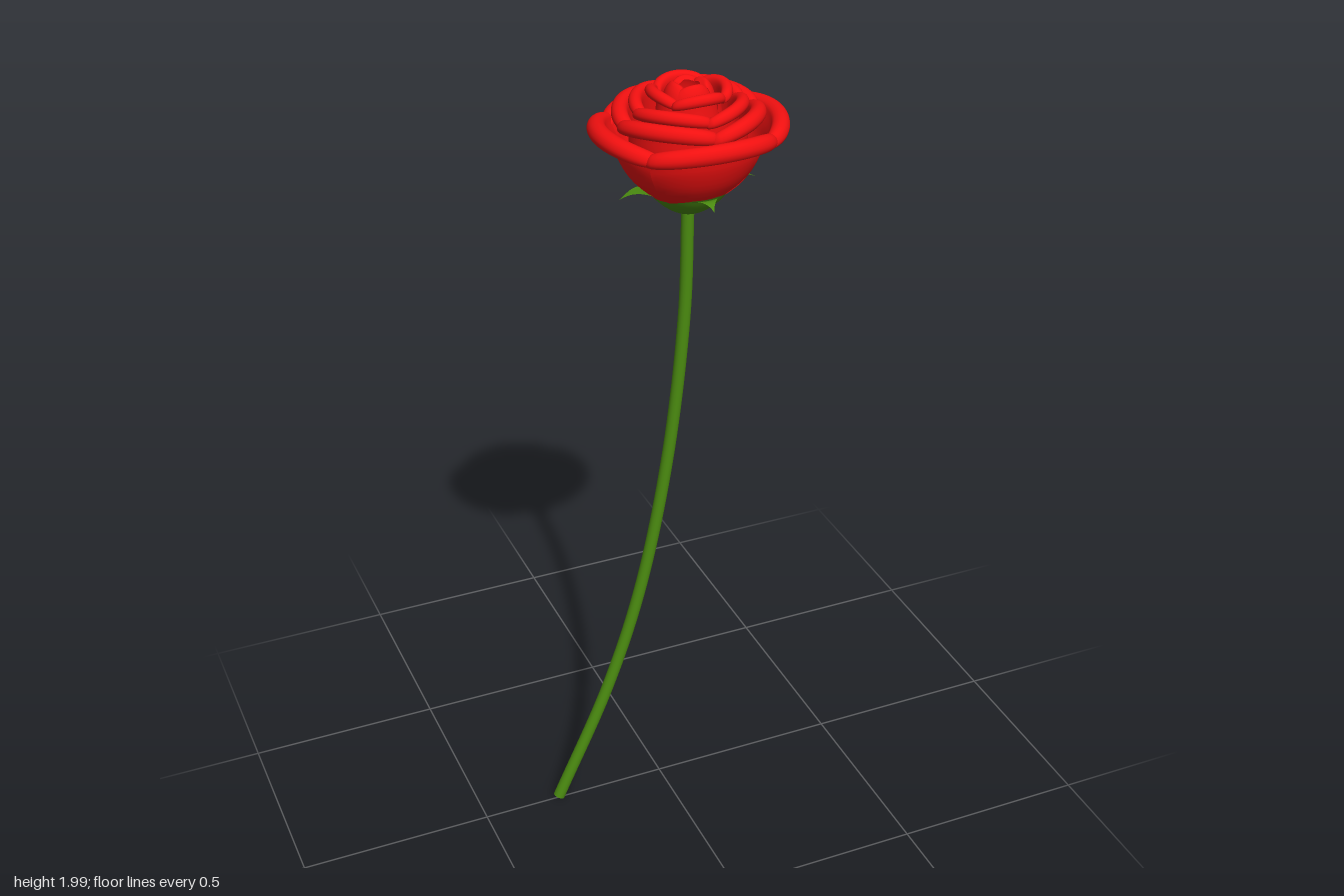
import * as THREE from 'three';

const red = new THREE.MeshStandardMaterial({ color: 0xf01010, side: THREE.DoubleSide });
const green = new THREE.MeshStandardMaterial({ color: 0x4a8a10, side: THREE.DoubleSide });
const HEAD_X = 0.073;
const V = (x, y, z = 0) => new THREE.Vector3(x, y, z);

function addMesh(parent, name, geometry, material) {
  const mesh = new THREE.Mesh(geometry, material);
  mesh.name = name;
  parent.add(mesh);
  return mesh;
}

// Grid surface: at(s, t) writes a point for s, t in 0..1
function sheet(at, ns, nt) {
  const pos = [], index = [];
  for (let i = 0; i <= ns; i++) {
    for (let j = 0; j <= nt; j++) {
      pos.push(...at(i / ns, j / nt));
      if (i < ns && j < nt) {
        const a = i * (nt + 1) + j, b = a + nt + 1;
        index.push(a, a + 1, b, b, a + 1, b + 1);
      }
    }
  }
  const g = new THREE.BufferGeometry();
  g.setAttribute('position', new THREE.Float32BufferAttribute(pos, 3));
  g.setIndex(index);
  g.computeVertexNormals();
  return g;
}

// Petal profile: belly rising to a lip rolled outwards around (c, yc) with radius q
function rolledProfile({ c, yc, q, base, belly }) {
  const pts = [...base, ...belly].map(([r, y]) => V(r, y));
  for (let a = 180; a >= -90; a -= 45) {
    const t = THREE.MathUtils.degToRad(a);
    pts.push(V(c + q * Math.cos(t), yc + q * Math.sin(t)));
  }
  return new THREE.CatmullRomCurve3(pts).getPoints(36);
}

// One curved petal; its lip shrinks and its rim sinks towards both ends
function petal(profile, { angle, span, zs, drop, lipY, tuck }) {
  const last = profile.length - 1;
  const y0 = profile[0].y;
  const lipStart = profile.findIndex(p => p.y >= lipY);
  const neck = profile[lipStart];
  return sheet((s, t) => {
    const u = s * 2 - 1;
    const i = Math.round(t * last);
    let { x: r, y } = profile[i];
    if (i > lipStart) {
      const k = 0.25 + 0.75 * Math.sqrt(Math.max(0, 1 - u ** 6));
      r = neck.x + (r - neck.x) * k;
      y = neck.y + (y - neck.y) * k;
    }
    const h = THREE.MathUtils.clamp((y - y0) / (lipY - y0), 0, 1);
    y -= drop * u * u * h * h;
    r += tuck * u * h;
    const a = angle + u * span / 2;
    return [r * Math.cos(a), y, r * Math.sin(a) * zs];
  }, 28, last);
}

export function createModel() {
  const model = new THREE.Group();

  // Curved stem with closed ends
  const path = new THREE.CatmullRomCurve3([
    V(-0.294, 0.008), V(-0.15, 0.33), V(-0.055, 0.62), V(0.022, 1.0), V(0.066, 1.4), V(HEAD_X, 1.68),
  ]);
  addMesh(model, 'stem', new THREE.TubeGeometry(path, 48, 0.0155, 16), green);
  for (const t of [0, 1]) {
    const cap = addMesh(model, 'stemEnd', new THREE.CircleGeometry(0.0155, 16), green);
    cap.position.copy(path.getPointAt(t));
    cap.quaternion.setFromUnitVectors(V(0, 0, 1), path.getTangentAt(t).multiplyScalar(t ? 1 : -1));
  }

  const head = new THREE.Group();
  head.name = 'flowerHead';
  head.position.x = HEAD_X;
  model.add(head);

  // Green cup under the petals
  const cup = [[0, 1.668], [0.025, 1.672], [0.055, 1.688], [0.082, 1.712], [0.1, 1.738]];
  const cupCurve = new THREE.SplineCurve(cup.map(([r, y]) => new THREE.Vector2(r, y)));
  addMesh(head, 'cup', new THREE.LatheGeometry(cupCurve.getPoints(14), 40), green);

  // Thin pointed sepals bending outwards from the cup rim
  for (let i = 0; i < 4; i++) {
    const len = i % 2 ? 0.05 : 0.075;
    const sepal = addMesh(head, 'sepal', sheet((s, t) => {
      const w = 0.04 * (1 - t) ** 1.3 * (s * 2 - 1);
      return [Math.sqrt(0.098 ** 2 - w * w) + len * t, 1.733 + 0.012 * Math.sin(t * Math.PI) - 0.006 * t, w];
    }, 6, 12), green);
    sepal.rotation.y = i * Math.PI / 2;
  }

  // Rings of four petals, from the outside in
  const rings = [
    { name: 'outerPetal', c: 0.212, yc: 1.888, q: 0.023, zs: 0.905, turn: 0, drop: 0.022, tuck: 0.003,
      base: [[0.035, 1.685], [0.094, 1.725]], belly: [[0.142, 1.772], [0.17, 1.825], [0.179, 1.86]] },
    { name: 'secondPetal', c: 0.161, yc: 1.922, q: 0.02, zs: 0.95, turn: 0.5, drop: 0.022, tuck: 0.005,
      base: [[0.035, 1.695], [0.08, 1.73]], belly: [[0.118, 1.79], [0.138, 1.85], [0.139, 1.895]] },
    { name: 'thirdPetal', c: 0.125, yc: 1.945, q: 0.016, zs: 0.95, turn: 0.5, drop: 0.018, tuck: 0.005,
      base: [[0.035, 1.70], [0.07, 1.74]], belly: [[0.098, 1.80], [0.109, 1.87], [0.108, 1.92]] },
    { name: 'fourthPetal', c: 0.085, yc: 1.972, q: 0.014, zs: 0.96, turn: 0, drop: 0.016, tuck: 0.004,
      base: [[0.033, 1.71], [0.055, 1.75]], belly: [[0.074, 1.81], [0.08, 1.88], [0.072, 1.945]] },
  ];
  for (const ring of rings) {
    const profile = rolledProfile(ring);
    for (let i = 0; i < 4; i++) {
      const shape = { ...ring, angle: (i + ring.turn) * Math.PI / 2, span: 1.78, lipY: ring.yc - 0.003 };
      addMesh(head, ring.name, petal(profile, shape), red);
    }
  }

  // Closed bud in the middle, open at its tip
  const bud = new THREE.CatmullRomCurve3([
    V(0.03, 1.72), V(0.05, 1.78), V(0.06, 1.87), V(0.062, 1.935), V(0.053, 1.975), V(0.038, 1.992), V(0.024, 1.985),
  ]).getPoints(24);
  for (let i = 0; i < 4; i++) {
    const shape = { angle: i * Math.PI / 2, span: 1.72, zs: 0.92, drop: 0.008, lipY: 1.985, tuck: 0.003 };
    addMesh(head, 'budPetal', petal(bud, shape), red);
  }
  return model;
}
